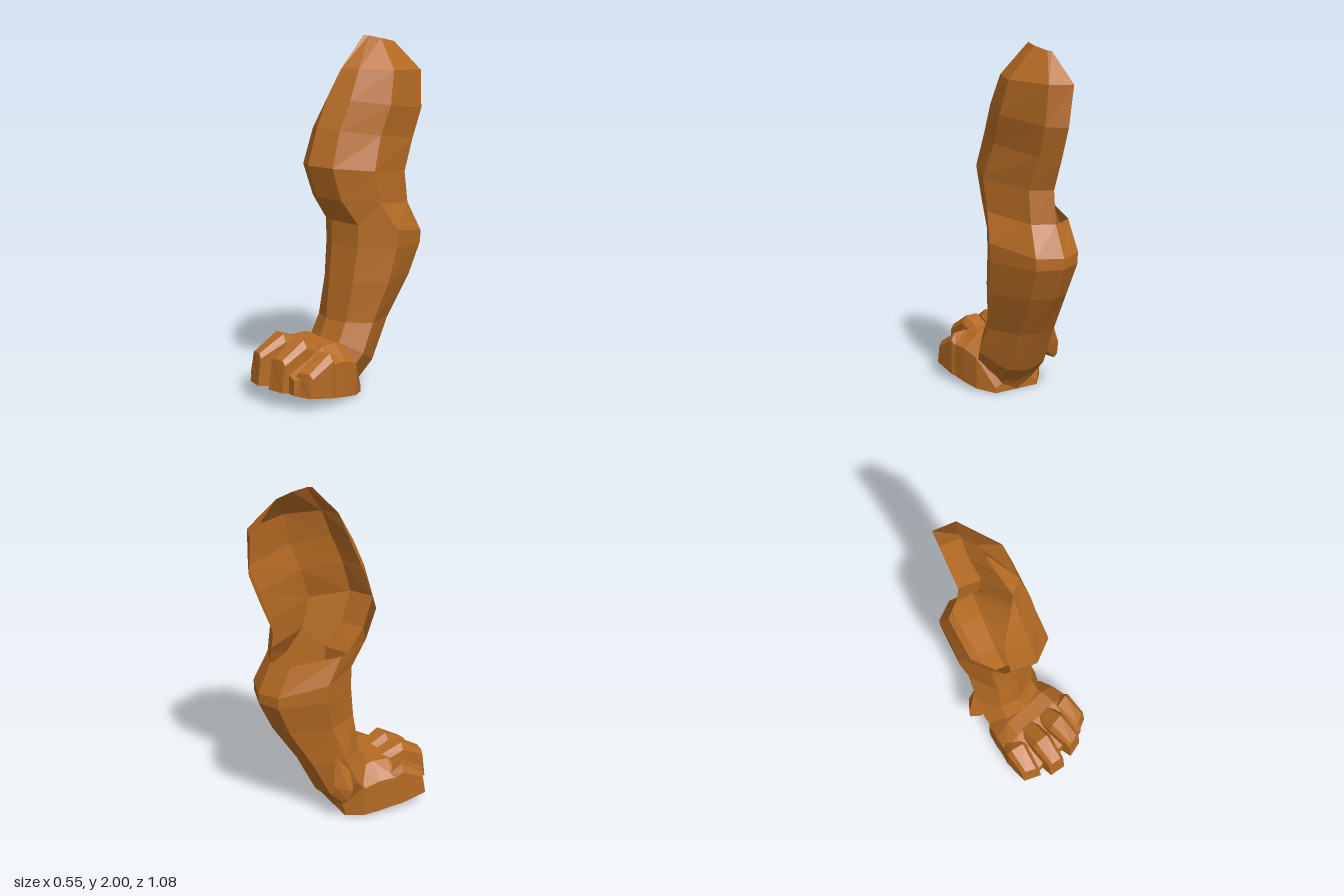
import * as THREE from 'three';
import { ConvexGeometry } from 'three/addons/geometries/ConvexGeometry.js';

// Faceted surface through closed rings of points; keep(i, j) leaves cells out for openings
function loft(rings, { keep = () => true, startCap = false, endCap = false } = {}) {
  const n = rings[0].length, pos = [];
  const tri = (...pts) => pts.forEach(p => pos.push(...p));
  for (let i = 0; i < rings.length - 1; i++) {
    for (let j = 0; j < n; j++) {
      if (!keep(i, j)) continue;
      const k = (j + 1) % n;
      const a = rings[i][j], b = rings[i][k], c = rings[i + 1][k], d = rings[i + 1][j];
      tri(a, b, c);
      tri(a, c, d);
    }
  }
  const last = rings[rings.length - 1];
  for (let j = 1; j < n - 1; j++) {
    if (startCap) tri(rings[0][0], rings[0][j + 1], rings[0][j]);
    if (endCap) tri(last[0], last[j], last[j + 1]);
  }
  const g = new THREE.BufferGeometry();
  g.setAttribute('position', new THREE.Float32BufferAttribute(pos, 3));
  g.computeVertexNormals();
  return g;
}

const lerp = THREE.MathUtils.lerp;
const soleY = z => Math.max(0, 0.1 * (z + 0.04) / 0.58);

// Bevelled cross-section of the foot or a toe, facing +z
function section(z, cx, w, ySide, yTop, skew = 0, lean = 0) {
  const at = (dx, y, dz = 0) => [cx + dx, y, z + dx * skew + dz];
  const s = soleY(z + lean);
  return [
    at(w, s, lean), at(w, ySide), at(0.6 * w, yTop),
    at(-0.6 * w, yTop), at(-w, ySide), at(-w, s, lean),
  ];
}

export function createModel() {
  const group = new THREE.Group();
  const fur = new THREE.MeshStandardMaterial({ color: 0xb56b24, side: THREE.DoubleSide });
  fur.name = 'brownFur';
  const add = (name, geometry) => {
    const m = new THREE.Mesh(geometry, fur);
    m.name = name;
    group.add(m);
  };

  // Leg columns: [side, share of width, share of depth], front -> +x -> back -> -x
  const columns = [
    [1, 0, 0], [1, 0.62, 0.1], [1, 1, 0.45], [1, 0.55, 0.92],
    [1, 0, 1], [-1, 0.6, 0.9], [-1, 1, 0.44], [-1, 0.62, 0.1],
  ];
  // Leg rings: yFront, yBack, zFront, zBack, width on +x, width on -x
  const rows = [
    [0.20, 0.00, 0.20, -0.04, 0.15, 0.15],
    [0.25, 0.07, 0.18, -0.08, 0.20, 0.20],
    [0.33, 0.15, 0.14, -0.16, 0.22, 0.21],
    [0.42, 0.40, 0.10, -0.28, 0.21, 0.20],
    [0.64, 0.64, 0.08, -0.43, 0.25, 0.18],
    [0.84, 0.82, 0.06, -0.51, 0.265, 0.21],
    [0.98, 0.88, 0.06, -0.51, 0.27, 0.215],
    [1.12, 1.05, 0.16, -0.43, 0.23, 0.20],
    [1.30, 1.23, 0.22, -0.41, 0.23, 0.22],
    [1.50, 1.41, 0.16, -0.48, 0.20, 0.205],
    [1.66, 1.58, 0.09, -0.54, 0.205, 0.10],
    [1.82, 1.80, 0.01, -0.54, 0.175, 0.05],
    [2.00, 1.96, -0.16, -0.38, 0.03, 0.00],
  ];
  const rings = rows.map(([yF, yB, zF, zB, xR, xL]) =>
    columns.map(([s, w, d]) => [s > 0 ? w * xR : -w * xL, lerp(yF, yB, d), lerp(zF, zB, d)]));
  // The inner front rim runs straight up to the shoulder; the rear rim tips inward
  rings[11][0][0] = 0.02;
  rings[11][4][0] = -0.03;
  rings[11][7] = [...rings[11][0]];
  rings[10][7] = rings[9][7].map((v, k) => (v + rings[11][0][k]) / 2);
  // Open on the inner upper side, where the leg meets the body
  const top = [99, 99, 99, 99, 7, 7, 7, 11];
  add('leg', loft(rings, { keep: (i, j) => i < top[j] }));

  // Foot body with flat sole: z, half width, side height, top height
  const foot = [
    [-0.04, 0.14, 0.03, 0.06],
    [0.05, 0.215, 0.20, 0.28],
    [0.14, 0.24, 0.235, 0.32],
    [0.24, 0.258, 0.24, 0.315],
    [0.33, 0.25, 0.20, 0.25],
    [0.45, 0.19, 0.17, 0.20],
  ].map(([z, w, ys, yt]) => section(z, 0, w, ys, yt));
  add('foot', loft(foot, { startCap: true, endCap: true }));

  // Four toes: root x, tip x, tip z, knuckle height, slant of the tip
  [
    [-0.19, -0.228, 0.435, 0.31, 0.45],
    [-0.065, -0.085, 0.51, 0.365, 0.15],
    [0.065, 0.09, 0.485, 0.36, -0.25],
    [0.185, 0.222, 0.405, 0.30, -0.45],
  ].forEach(([x0, x1, tip, h, skew], i) => {
    const knuckle = tip - 0.145;
    const toe = [
      section(0.2, x0, 0.06, h - 0.1, h - 0.06),
      section(knuckle, lerp(x0, x1, 0.45), 0.065, h - 0.04, h, skew * 0.5),
      section(tip, x1, 0.05, h - 0.115, h - 0.09, skew, 0.02),
    ];
    add(`toe${i + 1}`, loft(toe, { startCap: true, endCap: true }));
  });

  // Small dewclaw on the inner side of the ankle
  const claw = [
    [-0.17, 0.46, -0.12], [-0.16, 0.42, -0.04],
    [-0.2, 0.27, -0.15], [-0.262, 0.25, -0.08], [-0.25, 0.25, -0.05], [-0.19, 0.27, -0.02],
    [-0.2, 0.18, -0.13], [-0.255, 0.18, -0.08], [-0.2, 0.17, -0.04], [-0.14, 0.25, -0.08],
  ].map(p => new THREE.Vector3(...p));
  add('dewclaw', new ConvexGeometry(claw));

  return group;
}
